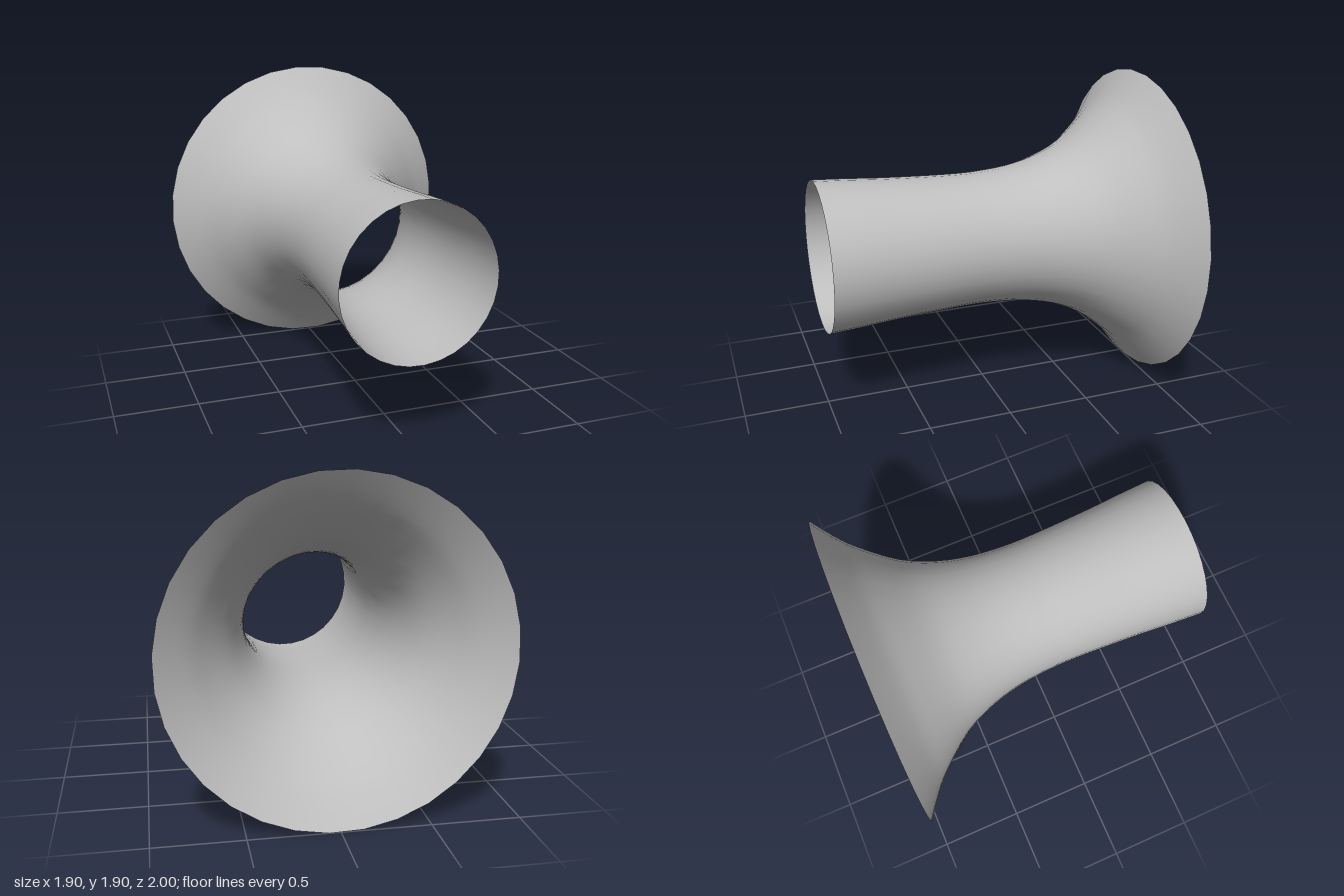
import * as THREE from 'three';

const SIDES = 32;
const CENTER_Y = 0.952;

// Radius along the axis, as (radius, z), from flared rear rim to front opening
const PROFILE = [
  [0.953, -1], [0.82, -0.9], [0.713, -0.8], [0.555, -0.6], [0.467, -0.4], [0.42, -0.2],
  [0.402, 0], [0.4, 0.15], [0.407, 0.35], [0.42, 0.6], [0.435, 0.8], [0.447, 1],
];

export function createModel() {
  const model = new THREE.Group();
  model.name = 'flaredTube';

  const grey = new THREE.MeshStandardMaterial({ color: 0xbfbfbf, side: THREE.DoubleSide });
  grey.name = 'plain grey';

  // Smooth open-ended shell turned around the z axis
  const curve = new THREE.SplineCurve(PROFILE.map(([r, z]) => new THREE.Vector2(r, z)));
  const geometry = new THREE.LatheGeometry(curve.getPoints(33), SIDES, THREE.MathUtils.degToRad(3.75));
  geometry.rotateX(Math.PI / 2);

  const shell = new THREE.Mesh(geometry, grey);
  shell.name = 'hornShell';
  shell.position.y = CENTER_Y;
  model.add(shell);

  return model;
}
